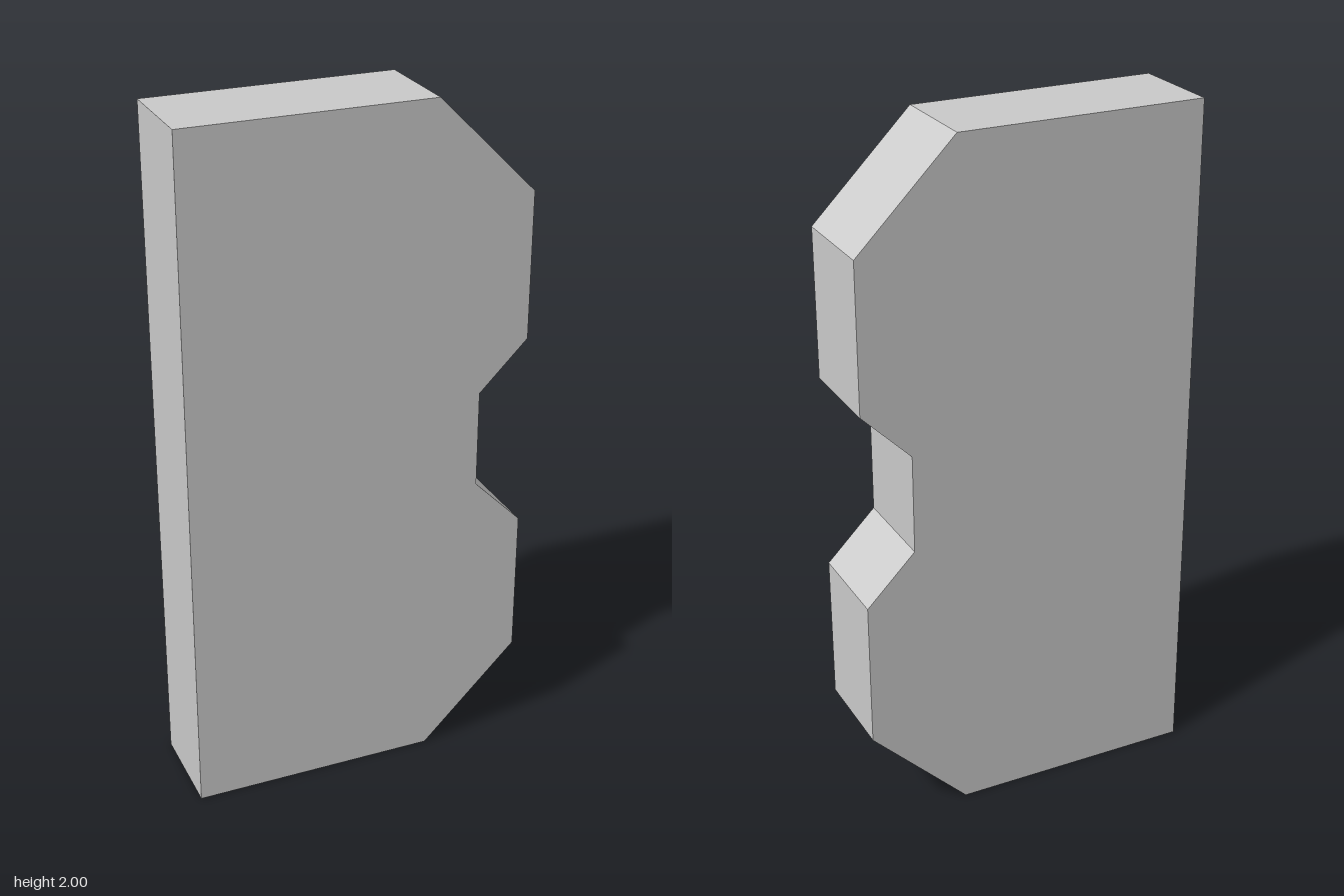
import * as THREE from 'three';

const UNIT = 1 / 7; // all corners sit on a grid of sevenths
const HEIGHT = 14;
const DEPTH = 2;

export function createModel() {
  const group = new THREE.Group();
  group.name = 'notchedPlate';

  // Lower half of the right edge: bottom chamfer, then the notch
  const lower = [[1.5, 0], [3.5, 2], [3.5, 5], [2.5, 6]];
  // Mirror it about mid height for the upper half
  const upper = lower.map(([x, y]) => [x, HEIGHT - y]).reverse();
  const outline = [[-3.5, 0], ...lower, ...upper, [-3.5, HEIGHT]];

  const shape = new THREE.Shape(
    outline.map(([x, y]) => new THREE.Vector2(x * UNIT, y * UNIT))
  );
  const geometry = new THREE.ExtrudeGeometry(shape, {
    depth: DEPTH * UNIT,
    bevelEnabled: false,
  });
  geometry.translate(0, 0, (-DEPTH * UNIT) / 2);

  // Flat plate with chamfered corners and a notch in its right edge
  const plate = new THREE.Mesh(
    geometry,
    new THREE.MeshStandardMaterial({ color: 0xcccccc, flatShading: true })
  );
  plate.name = 'plate';
  group.add(plate);
  return group;
}
